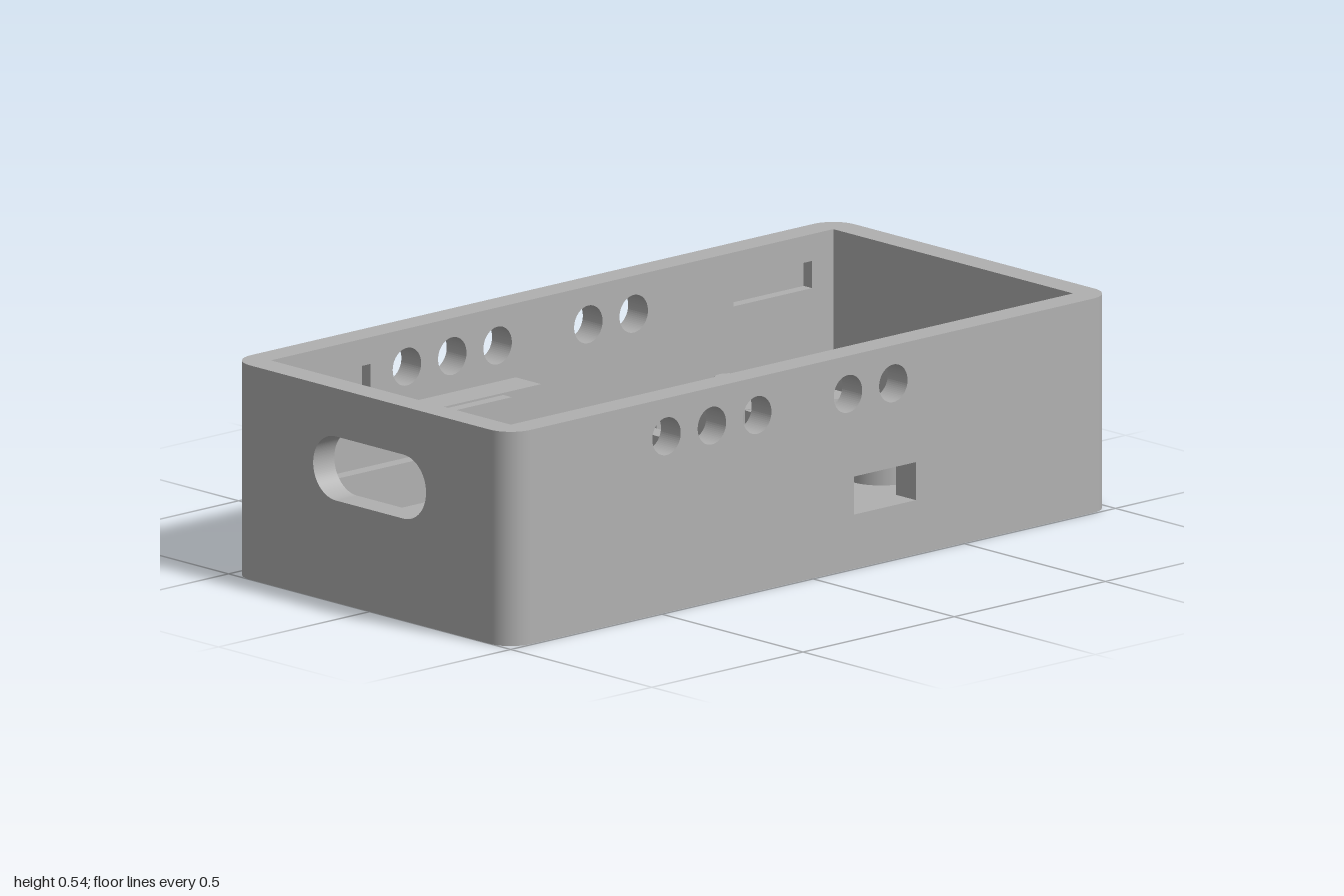
import * as THREE from 'three';

const H = 0.535, WALL = 0.07, IX = 0.93, IZ = 0.425, FLOOR = 0.135, RECESS = 0.04;

export function createModel() {
  const group = new THREE.Group();
  const grey = new THREE.MeshStandardMaterial({ color: 0xb0b0b0 });
  grey.name = 'grey plastic';
  const inside = new THREE.MeshStandardMaterial({ color: 0xb0b0b0, side: THREE.DoubleSide });
  inside.name = 'grey plastic two-sided';

  const add = (name, geo, x = 0, y = 0, z = 0, mat = grey) => {
    const m = new THREE.Mesh(geo, mat);
    m.name = name;
    m.position.set(x, y, z);
    group.add(m);
    return m;
  };
  // box given by its limits
  const block = (name, x0, x1, y0, y1, z0, z1) =>
    add(name, new THREE.BoxGeometry(x1 - x0, y1 - y0, z1 - z0), (x0 + x1) / 2, (y0 + y1) / 2, (z0 + z1) / 2);
  const rect = (C, x0, y0, x1, y1) => {
    const s = new C();
    s.moveTo(x0, y0); s.lineTo(x1, y0); s.lineTo(x1, y1); s.lineTo(x0, y1); s.closePath();
    return s;
  };
  const circle = (x, y, r) => new THREE.Path().absarc(x, y, r, 0, Math.PI * 2, true);
  const extrude = (shape, depth) =>
    new THREE.ExtrudeGeometry(shape, { depth, bevelEnabled: false, curveSegments: 32 });

  // long walls: an outer layer and an inner layer that also has the blind slots
  const longWall = (slots) => {
    const s = rect(THREE.Shape, -IX, 0, IX, H);
    for (const x of [-0.48, -0.33, -0.18, 0.12, 0.27]) s.holes.push(circle(x, 0.44, 0.047));
    s.holes.push(rect(THREE.Path, 0.14, FLOOR, 0.345, 0.23));
    if (slots) for (const x of [-0.86, 0.6]) s.holes.push(rect(THREE.Path, x, 0.4, x + 0.26, 0.468));
    return s;
  };
  for (const s of [-1, 1]) {
    add('longWallOuter', extrude(longWall(false), 0.04), 0, 0, s > 0 ? IZ + 0.03 : -IZ - WALL);
    add('longWallInner', extrude(longWall(true), 0.03), 0, 0, s > 0 ? IZ : -IZ - 0.03);
  }

  // end walls, one with a cable slot
  const slotted = rect(THREE.Shape, -IZ, 0, IZ, H);
  const slot = new THREE.Path();
  slot.absarc(0.12, 0.335, 0.08, -Math.PI / 2, Math.PI / 2, false);
  slot.absarc(-0.12, 0.335, 0.08, Math.PI / 2, Math.PI * 1.5, false);
  slot.closePath();
  slotted.holes.push(slot);
  add('slottedEndWall', extrude(slotted, WALL), -IX).rotation.y = -Math.PI / 2;
  block('plainEndWall', IX, IX + WALL, 0, H, -IZ, IZ);

  // rounded corners
  [[1, 1], [1, -1], [-1, -1], [-1, 1]].forEach(([sx, sz], i) =>
    add('roundedCorner', new THREE.CylinderGeometry(WALL, WALL, H, 16, 1, false, i * Math.PI / 2, Math.PI / 2),
      sx * IX, H / 2, sz * IZ));

  // floor with four tapered round recesses
  const recesses = [[-0.735, 0], [-0.325, 0], [0.745, -0.205], [0.745, 0.205]];
  block('base', -IX, IX, 0, FLOOR - RECESS, -IZ, IZ);
  const floor = rect(THREE.Shape, -0.95, -IZ, 0.95, IZ);
  for (const [x, z] of recesses) {
    floor.holes.push(circle(x, -z, 0.195));
    add('recessSide', new THREE.CylinderGeometry(0.195, 0.183, RECESS, 64, 1, true),
      x, FLOOR - RECESS / 2, z, inside);
  }
  add('floor', extrude(floor, RECESS), 0, FLOOR - RECESS, 0).rotation.x = -Math.PI / 2;

  // cross ribs
  block('divider', 0.085, 0.135, FLOOR, 0.22, -IZ, IZ);
  block('postRib', 0.415, 0.465, FLOOR, 0.218, -IZ, IZ);

  for (const s of [-1, 1]) {
    // locating posts with pins
    add('post', new THREE.CylinderGeometry(0.088, 0.088, 0.22 - FLOOR, 48), 0.44, (0.22 + FLOOR) / 2, s * 0.27);
    add('pin', new THREE.CylinderGeometry(0.042, 0.042, 0.05, 32), 0.44, 0.245, s * 0.27);
    add('pinTip', new THREE.CylinderGeometry(0.034, 0.042, 0.012, 32), 0.44, 0.276, s * 0.27);

    // stepped side rails with a snap tab
    const rail = (name, x0, x1, y0, y1, z0, z1) =>
      block(name, x0, x1, y0, y1, Math.min(s * z0, s * z1), Math.max(s * z0, s * z1));
    rail('railLedge', -IX, -0.12, FLOOR, 0.245, 0.3, IZ);
    rail('railTop', -IX, -0.12, 0.245, 0.35, 0.335, IZ);
    rail('railTab', -0.59, -0.245, 0.305, 0.345, 0.305, 0.335);
  }
  return group;
}
